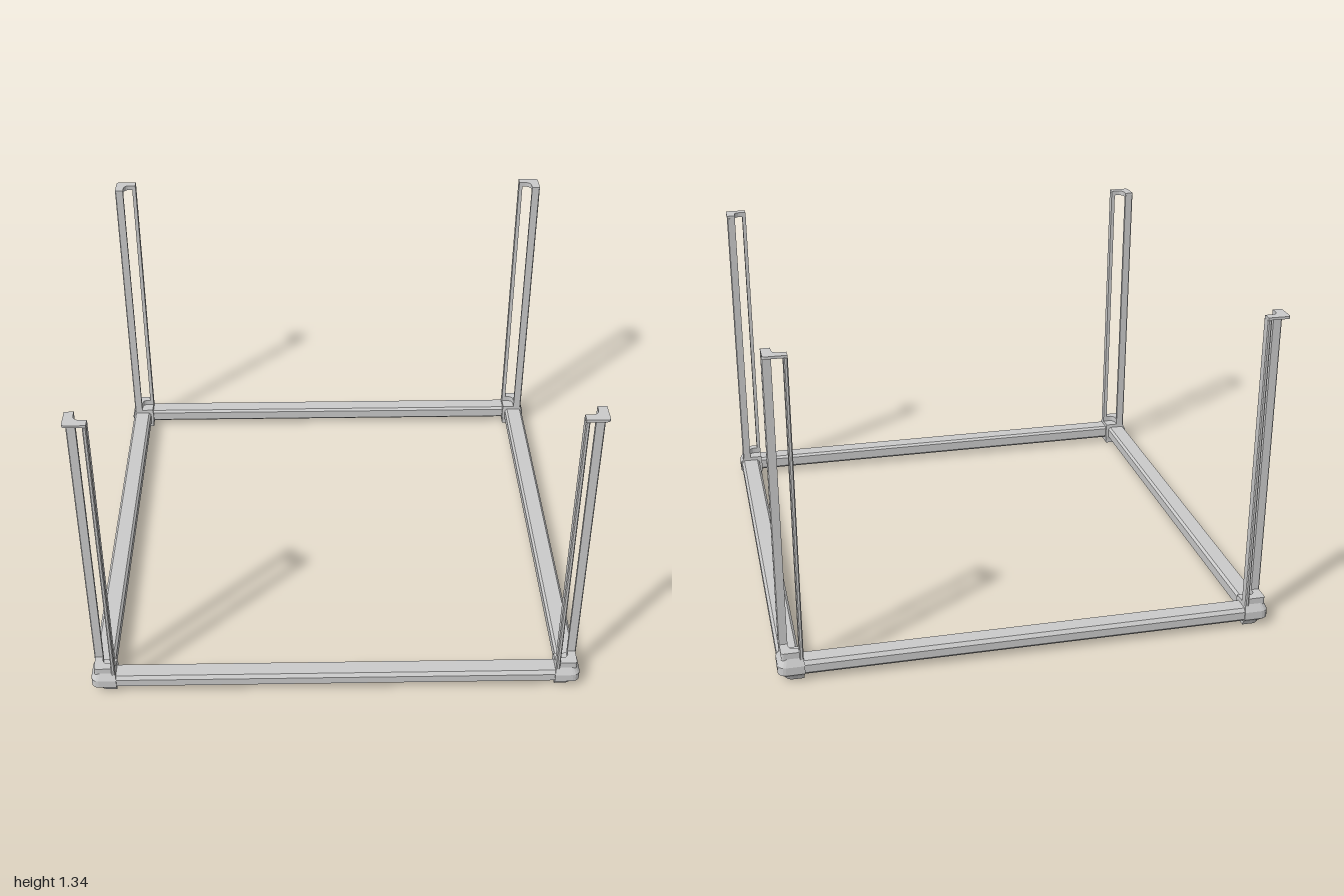
import * as THREE from 'three';

const grey = new THREE.MeshStandardMaterial({ color: 0xcccccc, flatShading: true });

function addPart(group, name, geometry) {
  const mesh = new THREE.Mesh(geometry, grey);
  mesh.name = name;
  group.add(mesh);
  return mesh;
}

function polygon(points) {
  return new THREE.Shape(points.map(([x, y]) => new THREE.Vector2(x, y)));
}

// Square outline with its outer corner rounded by radius c
function outline(inner, e, c) {
  const pts = [[inner, inner], [e, inner]];
  for (let i = 0; i <= 4; i++) {
    const a = (i / 4) * Math.PI / 2;
    pts.push([e - c + c * Math.cos(a), e - c + c * Math.sin(a)]);
  }
  pts.push([inner, e]);
  return pts;
}

// Skin a stack of horizontal outlines: [y, inner, outer, radius]
function loft(sections) {
  const rings = sections.map(([y, i, e, c]) =>
    outline(i, e, c).map(([x, z]) => [x, y, z]));
  const pos = [];
  const tri = (a, b, c) => pos.push(...a, ...b, ...c);
  const n = rings[0].length;
  for (let r = 0; r < rings.length - 1; r++) {
    for (let i = 0; i < n; i++) {
      const j = (i + 1) % n, lo = rings[r], hi = rings[r + 1];
      tri(lo[i], hi[i], lo[j]);
      tri(lo[j], hi[i], hi[j]);
    }
  }
  const top = rings[rings.length - 1], bottom = rings[0];
  for (let i = 1; i < n - 1; i++) {
    tri(bottom[0], bottom[i], bottom[i + 1]);
    tri(top[0], top[i + 1], top[i]);
  }
  const geo = new THREE.BufferGeometry();
  geo.setAttribute('position', new THREE.Float32BufferAttribute(pos, 3));
  geo.computeVertexNormals();
  return geo;
}

// Angle plate with a curved inside edge, its top face at height y
function anglePlate(y, depth, outer, lift) {
  const s = new THREE.Shape();
  s.moveTo(outer, 0.9);
  s.lineTo(outer, outer - 0.012);
  s.quadraticCurveTo(outer, outer, outer - 0.012, outer);
  s.lineTo(0.9, outer);
  s.lineTo(0.9, 0.953);
  s.lineTo(0.925, 0.953);
  s.quadraticCurveTo(0.953, 0.953, 0.953, 0.925);
  s.lineTo(0.953, 0.9);
  const geo = new THREE.ExtrudeGeometry(s, { depth, bevelEnabled: false, curveSegments: 5 });
  geo.rotateX(Math.PI / 2).translate(0, y, 0);
  // Slope the underside up towards the outer edges
  const p = geo.attributes.position;
  for (let i = 0; i < p.count; i++) {
    const edge = Math.max(p.getX(i), p.getZ(i)) > outer - 0.005;
    if (edge && p.getY(i) < y - depth / 2) p.setY(i, p.getY(i) + lift);
  }
  geo.computeVertexNormals();
  return geo;
}

// Upright strut of the post, with small chamfers on its outer face
function strut() {
  const s = polygon([
    [0.953, 0.899], [0.985, 0.899], [0.989, 0.903],
    [0.989, 0.911], [0.985, 0.915], [0.953, 0.915],
  ]);
  const geo = new THREE.ExtrudeGeometry(s, { depth: 1.24, bevelEnabled: false });
  return geo.rotateX(Math.PI / 2).translate(0, 1.325, 0);
}

export function createModel() {
  const model = new THREE.Group();
  model.name = 'frame';

  const railGeo = new THREE.ExtrudeGeometry(polygon([
    [0.92, 0.025], [0.982, 0.025], [0.995, 0.038], [0.995, 0.07],
    [0.984, 0.085], [0.92, 0.085], [0.91, 0.075], [0.91, 0.035],
  ]), { depth: 1.82, bevelEnabled: false }).translate(0, 0, -0.91);

  const cornerGeo = loft([
    [0, 0.9, 0.972, 0.03],
    [0.015, 0.9, 0.978, 0.03],
    [0.036, 0.897, 1.0, 0.03],
    [0.07, 0.897, 1.0, 0.03],
    [0.1, 0.9, 0.985, 0.022],
  ]);
  const collarGeo = anglePlate(0.125, 0.03, 0.985, 0);
  const capGeo = anglePlate(1.337, 0.021, 0.989, 0.011);
  const strutGeo = strut();

  // One rail and one corner post per quarter turn
  for (let k = 0; k < 4; k++) {
    const quarter = new THREE.Group();
    quarter.name = 'frameQuarter';
    quarter.rotation.y = k * Math.PI / 2;

    addPart(quarter, 'baseRail', railGeo);
    addPart(quarter, 'cornerBlock', cornerGeo);

    const post = new THREE.Group();
    post.name = 'cornerPost';
    addPart(post, 'postCollar', collarGeo);
    addPart(post, 'postCap', capGeo);
    addPart(post, 'postStrut', strutGeo);
    // Second strut: the same section turned onto the other arm
    const other = addPart(post, 'postStrut', strutGeo);
    other.rotation.y = -Math.PI / 2;
    other.position.x = 0.899 + 0.915;
    quarter.add(post);

    model.add(quarter);
  }
  return model;
}
